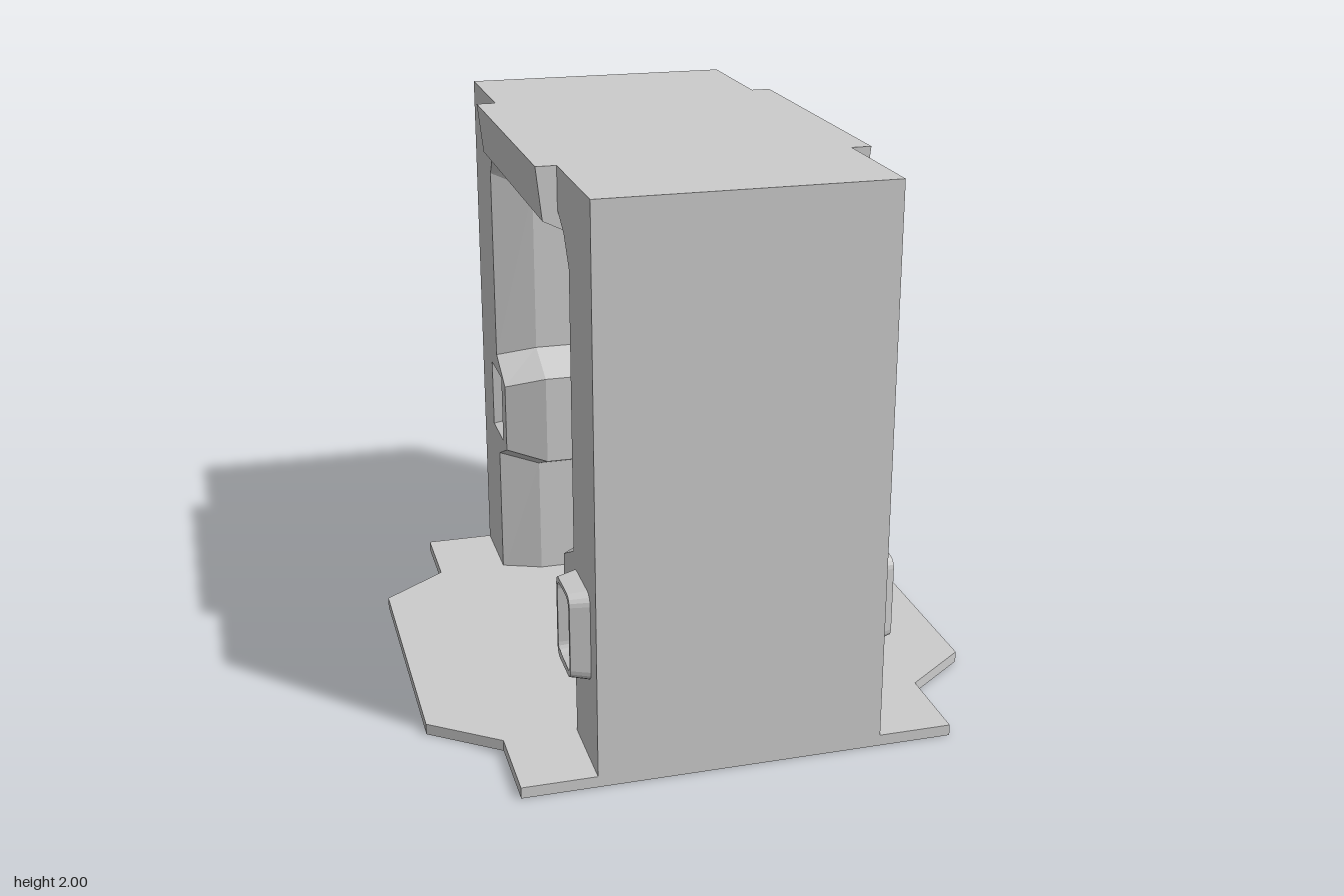
import * as THREE from 'three';

const grey = new THREE.MeshStandardMaterial({ color: 0xcccccc, flatShading: true });

function add(parent, name, geometry) {
  const mesh = new THREE.Mesh(geometry, grey);
  mesh.name = name;
  parent.add(mesh);
  return mesh;
}

const toVectors = (points) => points.map(([u, y]) => new THREE.Vector2(u, y));

// Extrudes a side profile (u = -z, y) along x. Every ring i lies at xs[i] and
// takes its own outline sections[i] and, if given, its own hole holes[i].
function layered(xs, sections, holes) {
  const shape = new THREE.Shape(toVectors(sections[0]));
  if (holes) shape.holes.push(new THREE.Path(toVectors(holes[0])));
  const rings = sections.map((s, i) => (holes ? [...s, ...holes[i]] : s));
  const steps = xs.length - 1;
  const g = new THREE.ExtrudeGeometry(shape, { depth: steps, steps, bevelEnabled: false });
  const p = g.attributes.position;
  for (let i = 0; i < p.count; i++) {
    const ring = Math.round(p.getZ(i));
    const k = rings[0].findIndex(
      ([u, y]) => Math.hypot(u - p.getX(i), y - p.getY(i)) < 1e-4);
    const [u, y] = rings[ring][k];
    p.setXYZ(i, u, y, xs[ring]);
  }
  g.rotateY(Math.PI / 2);
  g.computeVertexNormals();
  return g;
}

const rect = (u, y, w, h) => [
  [u - w / 2, y - h / 2], [u + w / 2, y - h / 2],
  [u + w / 2, y + h / 2], [u - w / 2, y + h / 2]];

// Rounded rectangle outline with a fixed number of points per corner
function roundedRect(w, h, r, n = 4) {
  const points = [];
  [[1, 1], [-1, 1], [-1, -1], [1, -1]].forEach(([sx, sy], q) => {
    for (let i = 0; i <= n; i++) {
      const a = (q + i / n) * Math.PI / 2;
      points.push([sx * (w / 2 - r) + r * Math.cos(a), sy * (h / 2 - r) + r * Math.sin(a)]);
    }
  });
  return points;
}

export function createModel() {
  const model = new THREE.Group();
  model.name = 'slidingDoorway';

  // Floor plate with a wider step on both sides
  const plan = [[0.76, 1], [0.76, 0.69], [1, 0.51], [1, -0.51], [0.76, -0.69], [0.76, -1]];
  const outline = [...plan, ...plan.map(([x, z]) => [-x, -z])];
  const plate = new THREE.ExtrudeGeometry(new THREE.Shape(toVectors(outline)),
    { depth: 0.04, bevelEnabled: false });
  plate.rotateX(-Math.PI / 2);
  add(model, 'floorPlate', plate);

  // Frame: the opening narrows from the faces to the inner jambs
  const wrap = (opening) => [[-1, 0], ...opening, [1, 0], [1, 2], [-1, 2]];
  const outer = wrap([
    [-0.69, 0], [-0.685, 0.3], [-0.525, 0.38], [-0.525, 0.64], [-0.685, 0.72],
    [-0.69, 1.7], [-0.62, 1.8], [-0.54, 1.85], [0.54, 1.85], [0.62, 1.8], [0.69, 1.7],
    [0.685, 0.965], [0.52, 0.885], [0.52, 0.62], [0.685, 0.545], [0.69, 0]]);
  const inner = wrap([
    [-0.63, 0], [-0.63, 0.26], [-0.46, 0.34], [-0.46, 0.68], [-0.63, 0.76],
    [-0.63, 1.64], [-0.6, 1.72], [-0.53, 1.78], [0.53, 1.78], [0.6, 1.72], [0.63, 1.64],
    [0.63, 1], [0.455, 0.925], [0.455, 0.58], [0.63, 0.505], [0.63, 0]]);
  const wide = rect(0.695, 0.765, 0.2, 0.265);
  const narrow = rect(0.695, 0.765, 0.13, 0.18);
  add(model, 'frame', layered([-0.5, -0.35, 0.35, 0.5],
    [outer, inner, inner, outer], [wide, narrow, narrow, wide]));

  // Bottom of the recessed panels in the rear jamb
  add(model, 'recessedPanels', new THREE.BoxGeometry(0.9, 0.28, 0.21))
    .position.set(0, 0.765, -0.695);

  // Lintel over the opening, standing proud of both faces
  const half = [[0.35, 1.72], [0.55, 1.82], [0.57, 2]];
  const lintelProfile = [...half, ...half.map(([x, y]) => [-x, y]).reverse()];
  const lintel = new THREE.ExtrudeGeometry(new THREE.Shape(toVectors(lintelProfile)),
    { depth: 1.07, bevelEnabled: false });
  lintel.translate(0, 0, -0.535);
  add(model, 'lintel', lintel);

  // Door leaves meeting in a stepped V-groove, with a fine slit on the slope
  const leaf = (side, a, low, high) =>
    [[side, 0.02], [a + 0.25, 0.02], [a + 0.25, low], [a - 0.25, high], [a - 0.25, 1.81], [side, 1.81]];
  const doorX = [-0.1, 0, 0.1];
  const frontFace = leaf(-0.72, -0.05, 0.72, 0.97);
  const rearFace = leaf(0.72, 0.05, 0.775, 1.03);
  add(model, 'frontDoorLeaf', layered(doorX,
    [frontFace, leaf(-0.72, 0, 0.74, 0.997), frontFace]));
  add(model, 'rearDoorLeaf', layered(doorX,
    [rearFace, leaf(0.72, 0, 0.75, 1.007), rearFace]));

  // Raised control surround on the front jamb, one per face
  const surround = layered([0, 0.065],
    [roundedRect(0.24, 0.32, 0.04), roundedRect(0.2, 0.3, 0.035)],
    [roundedRect(0.14, 0.235, 0.025), roundedRect(0.17, 0.27, 0.035)]);
  for (const side of [1, -1]) {
    const mesh = add(model, side > 0 ? 'leftControlSurround' : 'rightControlSurround', surround);
    mesh.position.set(side * 0.5, 0.505, 0.8);
    if (side < 0) mesh.rotation.y = Math.PI;
  }

  return model;
}
